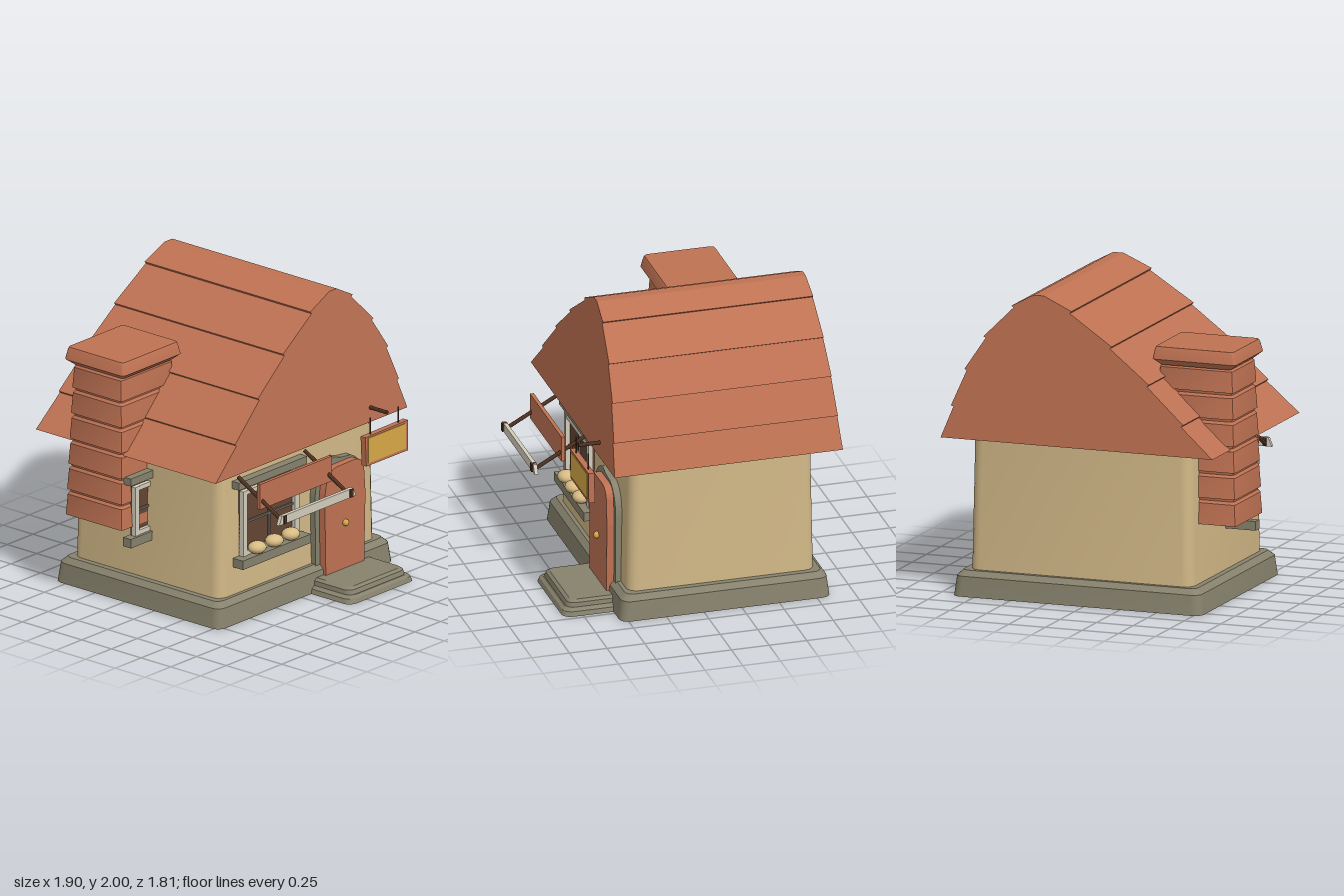
import * as THREE from 'three';
import { toCreasedNormals } from 'three/addons/utils/BufferGeometryUtils.js';

const mat = (name, color) => {
  const m = new THREE.MeshStandardMaterial({ color });
  m.name = name;
  return m;
};

export function createModel() {
  const root = new THREE.Group();
  const plaster = mat('plaster', 0xd2b887), clay = mat('clay', 0xbf7253), stone = mat('stone', 0x87826d);
  const trim = mat('whiteTrim', 0xd3cdbc), gold = mat('gold', 0xd8a845), pane = mat('windowPane', 0x634532);
  const wood = mat('darkWood', 0x4d3021), bread = mat('bread', 0xd8bc84), bar = mat('windowBar', 0x6b655a);

  const add = (name, geo, m, parent = root) => {
    const mesh = new THREE.Mesh(geo, m);
    mesh.name = name;
    parent.add(mesh);
    return mesh;
  };
  // box given by its limits on each axis
  const box = (name, m, x0, x1, y0, y1, z0, z1, parent) => {
    const mesh = add(name, new THREE.BoxGeometry(x1 - x0, y1 - y0, z1 - z0), m, parent);
    mesh.position.set((x0 + x1) / 2, (y0 + y1) / 2, (z0 + z1) / 2);
    return mesh;
  };
  // rod between two points
  const rod = (name, m, a, b, r, parent) => {
    const p = new THREE.Vector3(...a), q = new THREE.Vector3(...b);
    const mesh = add(name, new THREE.CylinderGeometry(r, r, p.distanceTo(q), 8), m, parent);
    mesh.position.copy(p).add(q).multiplyScalar(0.5);
    mesh.quaternion.setFromUnitVectors(new THREE.Vector3(0, 1, 0), q.sub(p).normalize());
    return mesh;
  };
  // rounded rectangle lofted upwards; each ring is [y, x0, x1, z0, z1, cornerRadius]
  const loft = (rings, seg = 4) => {
    const pos = [], idx = [], n = 4 * (seg + 1);
    for (const [y, x0, x1, z0, z1, r] of rings) {
      for (let c = 0; c < 4; c++) {
        const cx = c === 0 || c === 3 ? x1 - r : x0 + r, cz = c < 2 ? z1 - r : z0 + r;
        for (let s = 0; s <= seg; s++) {
          const a = (c + s / seg) * Math.PI / 2;
          pos.push(cx + r * Math.cos(a), y, cz + r * Math.sin(a));
        }
      }
    }
    const last = (rings.length - 1) * n;
    for (let i = 0; i < last; i += n) {
      for (let j = 0; j < n; j++) {
        const k = (j + 1) % n;
        idx.push(i + j, i + n + j, i + k, i + k, i + n + j, i + n + k);
      }
    }
    for (let j = 1; j < n - 1; j++) idx.push(0, j, j + 1, last, last + j + 1, last + j);
    const g = new THREE.BufferGeometry();
    g.setAttribute('position', new THREE.Float32BufferAttribute(pos, 3));
    g.setIndex(idx);
    return toCreasedNormals(g, 0.5);
  };
  const extrude = (shape, depth) => new THREE.ExtrudeGeometry(shape, { depth, bevelEnabled: false, curveSegments: 8 });

  // foundation, walls and doorstep
  add('foundation', loft([
    [0, -0.8, 0.9, -0.845, 0.55, 0.06], [0.13, -0.785, 0.885, -0.83, 0.535, 0.06],
    [0.165, -0.75, 0.85, -0.795, 0.5, 0.05]]), stone);
  add('walls', loft([
    [0.15, -0.71, 0.81, -0.765, 0.475, 0.07], [1.06, -0.69, 0.795, -0.75, 0.462, 0.07]]), plaster);
  add('lowerStep', loft([
    [0, 0.09, 0.725, 0.45, 0.88, 0.06], [0.03, 0.1, 0.715, 0.45, 0.87, 0.06],
    [0.046, 0.125, 0.69, 0.45, 0.85, 0.05]]), stone);
  add('upperStep', loft([
    [0.04, 0.128, 0.685, 0.45, 0.845, 0.05], [0.075, 0.133, 0.68, 0.45, 0.835, 0.05],
    [0.09, 0.155, 0.66, 0.45, 0.815, 0.04]]), stone);

  // roof: plank outline with a small lip at each joint, gables leaning inwards
  const nodes = [[-0.905, 1.04], [-0.7, 1.245], [-0.46, 1.485], [-0.2, 1.71], [0.08, 1.915], [0.27, 2], [0.34, 2],
    [0.49, 1.92], [0.675, 1.71], [0.8, 1.49], [0.885, 1.25], [0.95, 1.04]].map((p) => new THREE.Vector2(...p));
  const outline = [];
  for (let i = 0; i < nodes.length - 1; i++) {
    const a = nodes[i].clone(), b = nodes[i + 1].clone(), d = b.clone().sub(a).normalize();
    const inward = new THREE.Vector2(d.y, -d.x).multiplyScalar(0.018);
    if (i < 4) b.add(inward);
    if (i > 6) a.add(inward);
    outline.push(a, b);
  }
  const roofGeo = extrude(new THREE.Shape(outline), 1);
  const rp = roofGeo.attributes.position;
  for (let i = 0; i < rp.count; i++) {
    const lean = 0.065 * (2 - rp.getY(i)) / 0.96;
    rp.setZ(i, rp.getZ(i) > 0.5 ? 0.545 + lean : -0.84 - lean);
  }
  roofGeo.computeVertexNormals();
  add('roof', roofGeo, clay);

  // chimney with stepped courses and a cap
  const courses = [], count = 6;
  for (let i = 0; i < count; i++) {
    for (const [t, out] of [[0, 0.006], [0.8, 0.002], [0.9, -0.01], [1, -0.006]]) {
      const f = (i + t) / count, w = out - 0.035 * f;
      courses.push([0.55 + 1.03 * f, -0.947 - w, -0.385 + w, -0.615 - w, -0.145 + w, 0.02]);
    }
  }
  add('chimney', loft(courses, 2), clay);
  add('chimneyCap', loft([
    [1.56, -0.905, -0.425, -0.59, -0.17, 0.02], [1.6, -0.955, -0.38, -0.63, -0.125, 0.03],
    [1.665, -0.94, -0.393, -0.62, -0.138, 0.03], [1.68, -0.932, -0.4, -0.612, -0.146, 0.025]], 3), clay);

  // windows: pane, white frame, bars, sill and lintel
  const makeWindow = (name, x, z, y0, y1, hw, out) => {
    const g = new THREE.Group();
    g.name = name;
    root.add(g);
    const s = hw + 0.06, mid = (y0 + y1) / 2;
    box('pane', pane, x - hw, x + hw, y0, y1, z, z + 0.012, g);
    for (const e of [-1, 1]) {
      const c = x + e * (hw - 0.02);
      box('frameSide', trim, c - 0.02, c + 0.02, y0, y1, z, z + 0.04, g);
    }
    for (const y of [y0, y1 - 0.03]) box('frameRail', trim, x - hw, x + hw, y, y + 0.03, z, z + 0.035, g);
    box('uprightBar', bar, x - 0.007, x + 0.007, y0, y1, z, z + 0.025, g);
    box('crossBar', bar, x - hw + 0.04, x + hw - 0.04, mid - 0.007, mid + 0.007, z, z + 0.025, g);
    box('sill', stone, x - s, x + s, y0 - 0.06, y0, z - 0.01, z + out, g);
    box('lintel', stone, x - s, x + s, y1 + 0.03, y1 + 0.08, z - 0.01, z + 0.055, g);
  };
  makeWindow('frontWindow', -0.247, 0.467, 0.41, 0.85, 0.27, 0.088);
  makeWindow('sideWindow', -0.62, -0.155, 0.49, 0.82, 0.23, 0.055);

  // loaves on the sill
  for (const x of [-0.405, -0.24, -0.08]) {
    const loaf = add('loaf', new THREE.SphereGeometry(1, 14, 10), bread);
    loaf.scale.set(0.063, 0.04, 0.058);
    loaf.position.set(x, 0.45, 0.525);
  }

  // awning
  box('awningPanel', clay, -0.59, 0.105, 0.8, 0.97, 0.685, 0.71);
  const valance = new THREE.Shape([[-0.615, 0.742], [0.13, 0.742], [0.1, 0.8], [-0.59, 0.8]]
    .map((p) => new THREE.Vector2(...p)));
  add('awningValance', extrude(valance, 0.025), trim).position.z = 0.87;
  for (const x of [-0.565, 0.077]) {
    rod('awningArm', wood, [x, 0.965, 0.505], [x, 0.755, 0.885], 0.013);
    box('awningArmTip', wood, x - 0.012, x + 0.012, 0.745, 0.8, 0.868, 0.905);
  }

  // door surround, door and knob
  const surround = new THREE.Shape();
  surround.moveTo(0.178, 0.08);
  surround.lineTo(0.172, 0.62);
  surround.quadraticCurveTo(0.18, 0.79, 0.32, 0.838);
  surround.lineTo(0.36, 0.845);
  surround.lineTo(0.42, 0.825);
  surround.lineTo(0.52, 0.815);
  surround.quadraticCurveTo(0.635, 0.77, 0.637, 0.62);
  surround.lineTo(0.635, 0.08);
  add('doorSurround', extrude(surround, 0.05), stone).position.z = 0.46;
  const door = new THREE.Shape();
  door.moveTo(0.222, 0.085);
  door.lineTo(0.212, 0.6);
  door.quadraticCurveTo(0.22, 0.78, 0.32, 0.797);
  door.lineTo(0.5, 0.8);
  door.quadraticCurveTo(0.585, 0.795, 0.592, 0.72);
  door.lineTo(0.605, 0.55);
  door.lineTo(0.593, 0.085);
  add('door', extrude(door, 0.055), clay).position.z = 0.503;
  add('doorKnob', new THREE.SphereGeometry(0.023, 12, 8), gold).position.set(0.405, 0.4, 0.566);

  // hanging sign
  const board = new THREE.Shape([[0.395, 1.02], [0.405, 0.822], [0.81, 0.82], [0.808, 1.025]]
    .map((p) => new THREE.Vector2(...p)));
  add('signBoard', extrude(board, 0.04), clay).position.z = 0.7;
  for (const z of [0.696, 0.738]) box('signFace', gold, 0.423, 0.783, 0.84, 1.01, z, z + 0.006);
  for (const x of [0.465, 0.735]) rod('signHanger', wood, [x, 1.02, 0.72], [x, 1.13, 0.72], 0.005);
  rod('signBar', wood, [0.6, 1.135, 0.56], [0.6, 1.135, 0.747], 0.013);

  return root;
}
